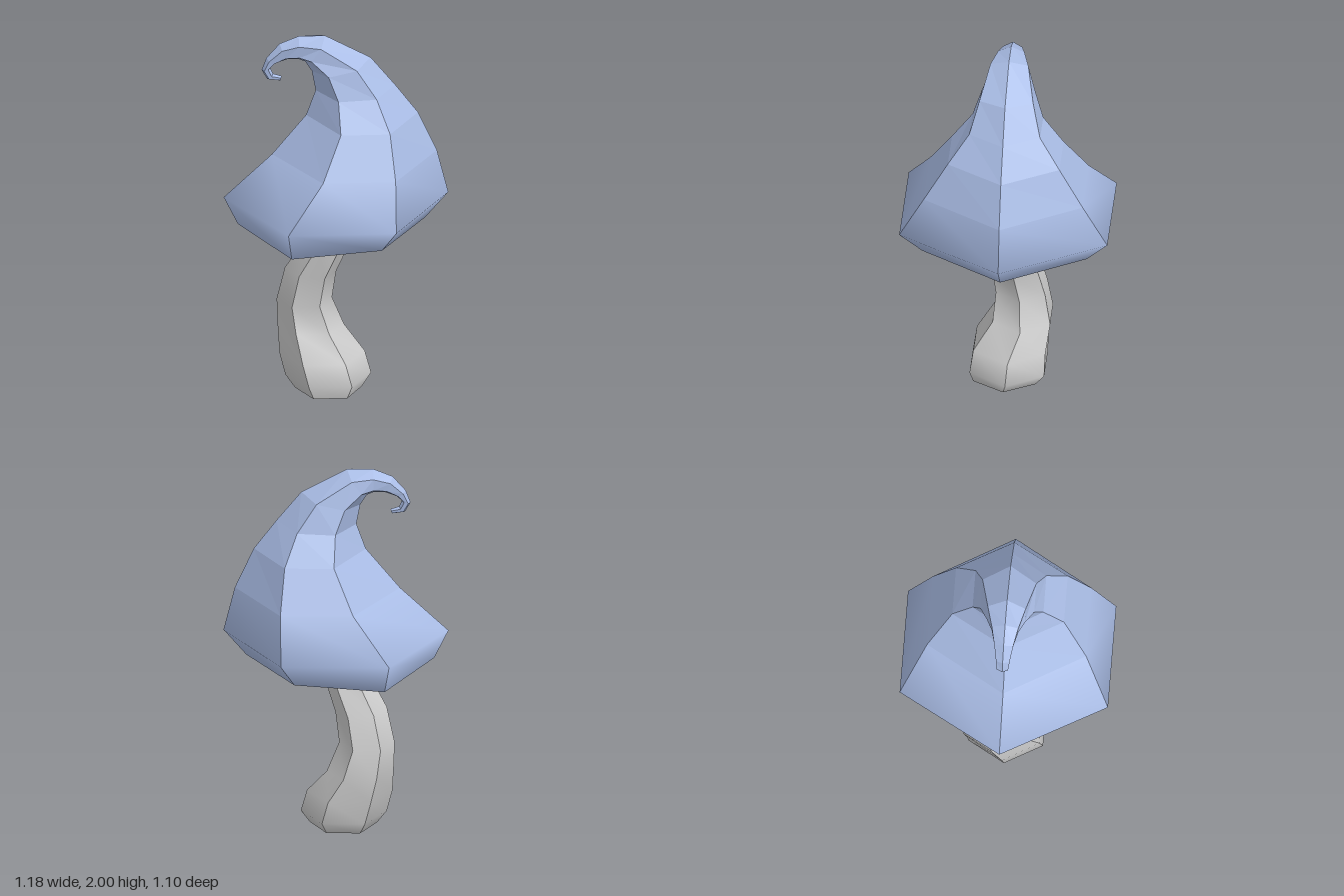
import * as THREE from 'three';
import { mergeGeometries } from 'three/addons/utils/BufferGeometryUtils.js';

// Six-sided section given by its left corner, right corner and half depth.
// t places the front and back corners along the width, dip lowers the left ones.
function section([lx, ly, rx, ry, depth, z = 0, dip = 0], t = 0.25) {
  const at = (k, dz, drop = 0) =>
    new THREE.Vector3(rx + (lx - rx) * k, ry + (ly - ry) * k - drop, z + dz);
  return [
    at(0, 0), at(t, depth), at(1 - t, depth, dip),
    at(1, 0), at(1 - t, -depth, dip), at(t, -depth),
  ];
}

// All corners collapsed to the middle, used to close an end
function closeEnd(ring) {
  const mid = new THREE.Vector3();
  ring.forEach((p) => mid.addScaledVector(p, 1 / ring.length));
  return ring.map(() => mid.clone());
}

// Skin the rings one side at a time: sharp between sides,
// either smooth or faceted along the length
function loft(rings, smooth) {
  const sides = [];
  const n = rings[0].length;
  for (let j = 0; j < n; j++) {
    const points = rings.flatMap((r) => [r[j], r[(j + 1) % n]]);
    const index = [];
    for (let i = 0; i < rings.length - 1; i++) {
      const a = i * 2;
      index.push(a, a + 2, a + 3, a, a + 3, a + 1);
    }
    let side = new THREE.BufferGeometry().setFromPoints(points);
    side.setIndex(index);
    side = smooth ? side : side.toNonIndexed();
    side.computeVertexNormals();
    sides.push(smooth ? side.toNonIndexed() : side);
  }
  return mergeGeometries(sides);
}

function addPart(group, name, geometry, material) {
  const mesh = new THREE.Mesh(geometry, material);
  mesh.name = name;
  group.add(mesh);
}

export function createModel() {
  const model = new THREE.Group();
  model.name = 'mushroom';
  const blue = new THREE.MeshStandardMaterial({ color: 0xaabde6 });
  const grey = new THREE.MeshStandardMaterial({ color: 0xcccccc });

  // Cap sections from rim to curled tip: left x, y, right x, y, half depth
  const outer = [
    [-0.52, 0.935, 0.47, 0.95, 0.435, 0, 0.03],
    [-0.595, 1.09, 0.59, 1.09, 0.55],
    [-0.34, 1.33, 0.53, 1.33, 0.42],
    [-0.16, 1.55, 0.43, 1.55, 0.295],
    [-0.11, 1.69, 0.31, 1.71, 0.187],
    [-0.13, 1.80, 0.18, 1.87, 0.142],
    [-0.165, 1.855, -0.06, 2.0, 0.1],
    [-0.2, 1.87, -0.2, 2.0, 0.07],
    [-0.26, 1.87, -0.3, 1.96, 0.05],
    [-0.32, 1.85, -0.37, 1.88, 0.036],
    [-0.35, 1.825, -0.395, 1.813, 0.03],
    [-0.335, 1.79, -0.365, 1.76, 0.024],
    [-0.29, 1.775, -0.3, 1.75, 0.014],
  ].map((s, i) => section(s, i > 1 && i < 4 ? 0.28 : 0.26));

  // Hollow inside of the cap, from its roof down to the opening
  const inner = [
    [-0.12, 1.36, 0.34, 1.36, 0.24],
    [-0.4, 1.12, 0.43, 1.12, 0.39],
    [-0.41, 0.937, 0.36, 0.948, 0.34, 0, 0.025],
  ].map((s) => section(s));

  const cap = new THREE.Group();
  cap.name = 'cap';
  addPart(cap, 'capUnderside', loft([closeEnd(inner[0]), ...inner, outer[0]], false), blue);
  addPart(cap, 'capSkirt', loft(outer.slice(0, 3), true), blue);
  addPart(cap, 'capCrown', loft([...outer.slice(2), closeEnd(outer[12])], false), blue);
  model.add(cap);

  // Winding stem: left x, y, right x, y, half depth, centre z
  const stem = [
    [-0.22, 0, 0.135, 0, 0.165, 0.015],
    [-0.27, 0.07, 0.183, 0.07, 0.197, 0],
    [-0.3, 0.19, 0.15, 0.19, 0.19, -0.01],
    [-0.307, 0.34, 0.045, 0.32, 0.152, -0.067],
    [-0.312, 0.48, -0.02, 0.48, 0.13, -0.058],
    [-0.27, 0.67, 0, 0.64, 0.12, -0.03],
    [-0.16, 0.86, 0.06, 0.81, 0.09, 0.035],
    [-0.13, 0.93, 0.06, 0.94, 0.082, 0.032],
    [-0.1, 1.12, 0.04, 1.12, 0.062, 0.03],
  ].map((s) => section(s));
  const stalk = new THREE.Group();
  stalk.name = 'stem';
  addPart(stalk, 'stemSides', loft(stem, true), grey);
  addPart(stalk, 'stemBase', loft([closeEnd(stem[0]), stem[0]], false), grey);
  addPart(stalk, 'stemTop', loft([stem[8], closeEnd(stem[8])], false), grey);
  model.add(stalk);

  return model;
}
